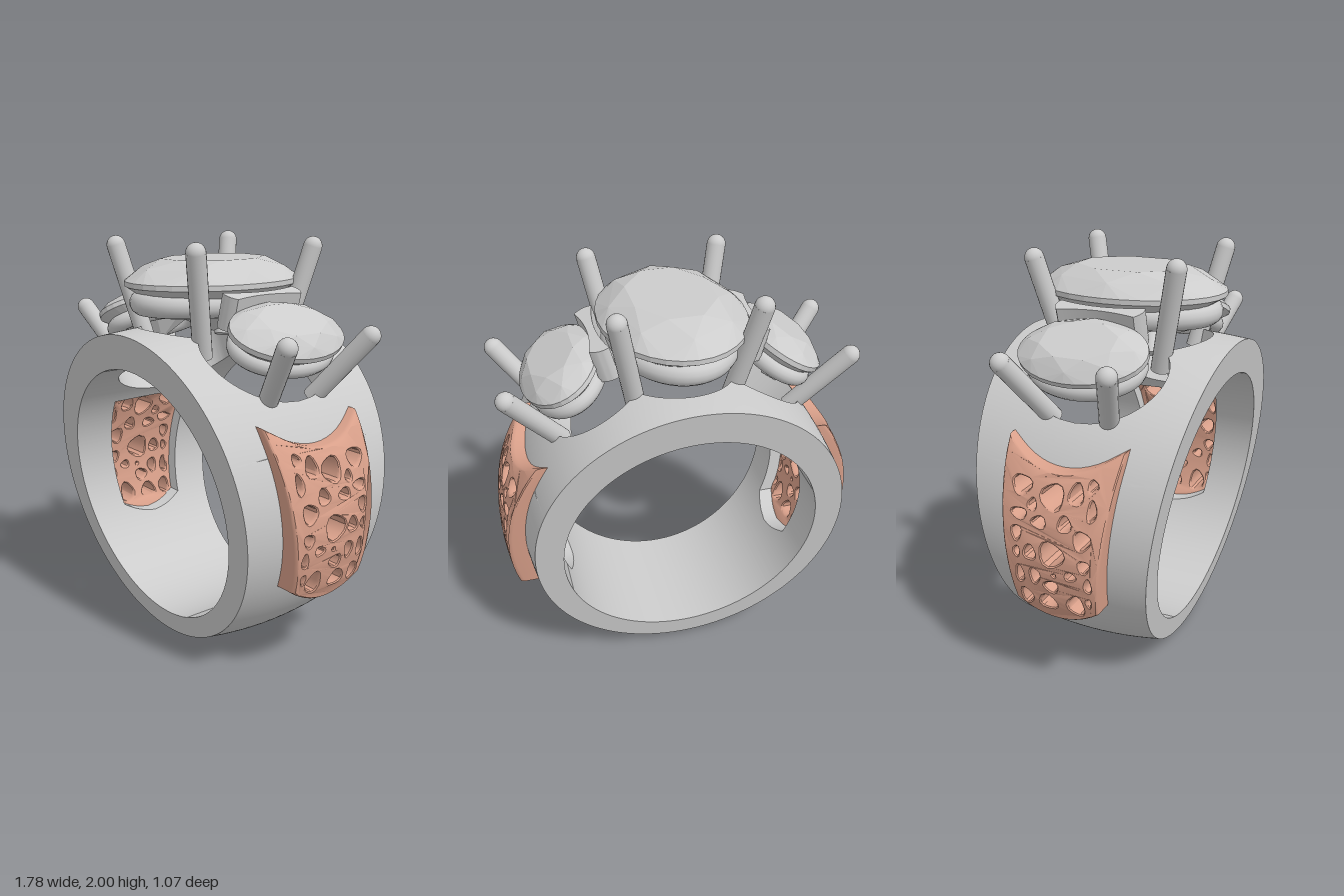
import * as THREE from 'three';
import { toCreasedNormals } from 'three/addons/utils/BufferGeometryUtils.js';
import { ConvexGeometry } from 'three/addons/geometries/ConvexGeometry.js';

const metal = new THREE.MeshStandardMaterial({ color: 0xcccccc });
const rose = new THREE.MeshStandardMaterial({ color: 0xd9a08a });
const rad = THREE.MathUtils.degToRad;

function mesh(name, geometry, material = metal) {
  const m = new THREE.Mesh(geometry, material);
  m.name = name;
  return m;
}

// Half width of the side panel at height y
const panelHalf = (y) => 0.2 + 0.11 * (y - 0.5);

// Half width of the cut-outs through the band at an angle from the top
function opening(deg) {
  const oval = (centre, half, z) => z * Math.sqrt(Math.max(0, 1 - ((deg - centre) / half) ** 2));
  const y = 0.8 + 0.8 * Math.cos(rad(deg));
  let h = Math.max(oval(0, 22, 0.4), oval(30, 21, 0.34));
  if (y > 0.44 && y < 1.115) h = Math.max(h, (panelHalf(y) - 0.015) * Math.min(1, Math.sqrt((y - 0.44) / 0.06)));
  return h;
}

// Bore angle matching an outer angle, so the side windows are cut straight through
function boreAngle(deg) {
  const knots = [[0, 0], [52, 52], [66.4, 56.2], [117.6, 122.1], [180, 180]];
  const i = Math.max(1, knots.findIndex((k) => deg <= k[0]));
  return THREE.MathUtils.mapLinear(deg, knots[i - 1][0], knots[i][0], knots[i - 1][1], knots[i][1]);
}

// Tapered, domed band: each half runs from the cut-out edge to the rim
function bandGeometry() {
  const K = 6, steps = 720, pos = [];
  const halfWidth = (y) => 0.315 + 0.14 * y;
  const section = (i) => {
    const full = (i % steps) * 360 / steps;
    const side = full > 180 ? -1 : 1;
    const deg = full > 180 ? 360 - full : full;
    const h = opening(deg), t = rad(deg), b = rad(boreAngle(deg));
    const outer = [], inner = [];
    for (let k = 0; k <= K; k++) {
      const w = halfWidth(0.8 + 0.77 * Math.cos(t));
      const z = h + (w - h) * k / K;
      const r = 0.8 - 0.03 * (z / w) ** 2;
      outer.push([side * r * Math.sin(t), 0.8 + r * Math.cos(t), z]);
      const y = 0.767 + 0.635 * Math.cos(b);
      inner.push([side * 0.635 * Math.sin(b), y, h + (halfWidth(y) - h) * k / K]);
    }
    return { h, p: [...outer, ...inner.reverse(), outer[0]] };
  };
  const flip = ([x, y, z]) => [x, y, -z];
  for (let i = 0; i < steps; i++) {
    const s = section(i), n = section(i + 1);
    for (let k = 0; k < s.p.length - 1; k++) {
      if (k === s.p.length - 2 && s.h === 0 && n.h === 0) continue;
      const [a, b, c, d] = [s.p[k], s.p[k + 1], n.p[k + 1], n.p[k]];
      for (const v of [a, b, c, a, c, d]) pos.push(...v);
      for (const v of [c, b, a, d, c, a]) pos.push(...flip(v));
    }
  }
  const g = new THREE.BufferGeometry();
  g.setAttribute('position', new THREE.Float32BufferAttribute(pos, 3));
  return toCreasedNormals(g, 0.5);
}

// Pierced side panel: openings as [z, y, half width, half height] in hundredths
const piercings = [
  [18, 110, 2.5, 3], [11, 106, 3.7, 5], [0, 103.5, 6, 6], [-16, 106, 5.5, 4.5], [19, 100, 2.3, 5],
  [-9.5, 99, 2.5, 3], [-16, 94, 4.5, 2.8], [15.5, 87, 4.3, 4.8], [7, 93, 3.5, 4], [-5.5, 92, 4, 3],
  [-17, 85, 3, 4], [1, 78, 6.5, 6.5], [-10, 77, 3.5, 4], [-17, 76, 2, 3], [16.5, 75, 3, 3.5],
  [10, 69, 3, 2.5], [18, 65.5, 2, 4], [0, 61.5, 4, 3.5], [-8, 65.5, 3, 4.5], [-16, 64.5, 2.5, 5],
  [11, 53, 4.5, 6], [17.5, 56, 1.5, 3], [-14, 52.5, 3.5, 5], [-3, 52, 5, 4.5], [2, 68, 1.3, 1.3],
];

function panelGeometry(side) {
  const pts = [], N = 14;
  for (let i = 0; i < N; i++) { // bottom edge
    const x = -0.2 + 0.4 * i / N;
    pts.push(new THREE.Vector2(x, 0.425 + 0.075 * (x / 0.2) ** 2));
  }
  const edge = [];
  for (let i = 0; i <= N; i++) edge.push(0.5 + 0.73 * i / N);
  edge.forEach((y) => pts.push(new THREE.Vector2(panelHalf(y), y)));
  for (let i = 1; i < N; i++) { // concave top edge
    const x = 0.28 - 0.56 * i / N;
    pts.push(new THREE.Vector2(x, 1.125 + 0.105 * (x / 0.28) ** 2));
  }
  edge.slice(1).reverse().forEach((y) => pts.push(new THREE.Vector2(-panelHalf(y), y)));

  const shape = new THREE.Shape(pts);
  piercings.forEach(([z, y, rz, ry], i) => {
    const hole = [];
    for (let k = 0; k < 14; k++) {
      const a = k / 14 * Math.PI * 2, r = 0.0098 * (1 + 0.1 * Math.cos(3 * a + i * 1.7));
      hole.push(new THREE.Vector2(-side * z / 100 + rz * r * Math.cos(a), y / 100 + ry * r * Math.sin(a)));
    }
    shape.holes.push(new THREE.Path(hole));
  });
  const g = new THREE.ExtrudeGeometry(shape, {
    depth: 0.8, bevelThickness: 0.1, bevelSize: 0.008, bevelSegments: 2, curveSegments: 1,
  });
  // Bend the slab between an inner and an outer arc
  const p = g.attributes.position;
  for (let i = 0; i < p.count; i++) {
    const x = p.getX(i), y = p.getY(i), t = p.getZ(i) + 0.1;
    const inner = Math.sqrt(0.49 - (y - 0.767) ** 2);
    const outer = 0.083 + Math.sqrt(0.81 ** 2 - (y - 0.75) ** 2) - 0.02 * (x / 0.25) ** 2;
    p.setXYZ(i, inner + (outer - inner) * t, y, -x);
  }
  return toCreasedNormals(g, 0.6);
}

// Faceted oval stone, girdle at y = 0
function gemGeometry(a, b, crown, pavilion) {
  const pts = [new THREE.Vector3(0, -pavilion, 0)];
  const ring = (n, scale, y, turn) => {
    for (let i = 0; i < n; i++) {
      const t = (i + turn) / n * Math.PI * 2;
      pts.push(new THREE.Vector3(a * scale * Math.cos(t), y, b * scale * Math.sin(t)));
    }
  };
  ring(8, 0.6, crown, 0.5);
  ring(8, 0.84, crown * 0.64, 0);
  ring(32, 1, 0.012, 0);
  ring(32, 1, -0.012, 0);
  ring(8, 0.55, -pavilion * 0.58, 0.5);
  return new ConvexGeometry(pts);
}

class Oval extends THREE.Curve {
  constructor(a, b) { super(); this.a = a; this.b = b; }
  getPoint(t, out = new THREE.Vector3()) {
    const u = t * Math.PI * 2;
    return out.set(this.a * Math.cos(u), 0, this.b * Math.sin(u));
  }
}

// Stone with the rounded rail it rests on
function setting(name, gem, rail, railDrop, railRadius) {
  const g = new THREE.Group();
  g.name = name;
  const support = mesh('rail', new THREE.TubeGeometry(new Oval(...rail), 64, railRadius, 14, true));
  support.position.y = -railDrop;
  g.add(mesh('stone', gemGeometry(...gem)), support);
  return g;
}

// Round prong with a domed tip
function prong(name, from, to, radius = 0.046) {
  const a = new THREE.Vector3(...from), b = new THREE.Vector3(...to), dir = b.clone().sub(a);
  const g = new THREE.Group();
  g.name = name;
  const rod = mesh('rod', new THREE.CylinderGeometry(radius, radius, dir.length(), 20));
  rod.position.copy(a).add(b).multiplyScalar(0.5);
  rod.quaternion.setFromUnitVectors(new THREE.Vector3(0, 1, 0), dir.normalize());
  const tip = mesh('tip', new THREE.SphereGeometry(radius, 20, 12));
  tip.position.copy(b);
  g.add(rod, tip);
  return g;
}

// Waisted block joining two neighbouring settings
function connectorGeometry() {
  const s = new THREE.Shape();
  s.moveTo(-0.045, -0.21);
  s.quadraticCurveTo(0, -0.23, 0.045, -0.19);
  s.quadraticCurveTo(-0.005, 0, 0.045, 0.19);
  s.quadraticCurveTo(0, 0.23, -0.045, 0.21);
  s.quadraticCurveTo(0.01, 0, -0.045, -0.21);
  const g = new THREE.ExtrudeGeometry(s, { depth: 0.16, bevelEnabled: false, curveSegments: 10 });
  return toCreasedNormals(g.translate(0, 0, -0.08).rotateX(-Math.PI / 2), 0.5);
}

export function createModel() {
  const ring = new THREE.Group();
  ring.name = 'ring';
  ring.add(mesh('band', bandGeometry()));

  const centre = setting('centreSetting', [0.345, 0.465, 0.11, 0.25], [0.25, 0.39], 0.09, 0.057);
  centre.position.y = 1.79;
  ring.add(centre);

  for (const s of [1, -1]) {
    const label = s > 0 ? 'left' : 'right';
    const panel = mesh(label + 'Panel', panelGeometry(s), rose);
    panel.rotation.y = s > 0 ? 0 : Math.PI;
    const stone = setting(label + 'Setting', [0.205, 0.31, 0.075, 0.18], [0.155, 0.245], 0.08, 0.043);
    stone.position.set(s * 0.535, 1.6, 0);
    stone.rotation.z = -s * rad(29);
    const joint = mesh(label + 'Connector', connectorGeometry());
    joint.position.set(s * 0.355, 1.685, 0);
    joint.rotation.set(0, s > 0 ? 0 : Math.PI, -0.26);
    ring.add(panel, stone, joint);
    for (const f of [1, -1]) {
      ring.add(prong(label + 'CentreProng', [s * 0.225, 1.47, f * 0.24], [s * 0.322, 1.954, f * 0.35]));
      ring.add(prong(label + 'SideProng', [s * 0.56, 1.29, f * 0.14], [s * 0.805, 1.595, f * 0.25]));
    }
  }
  return ring;
}
